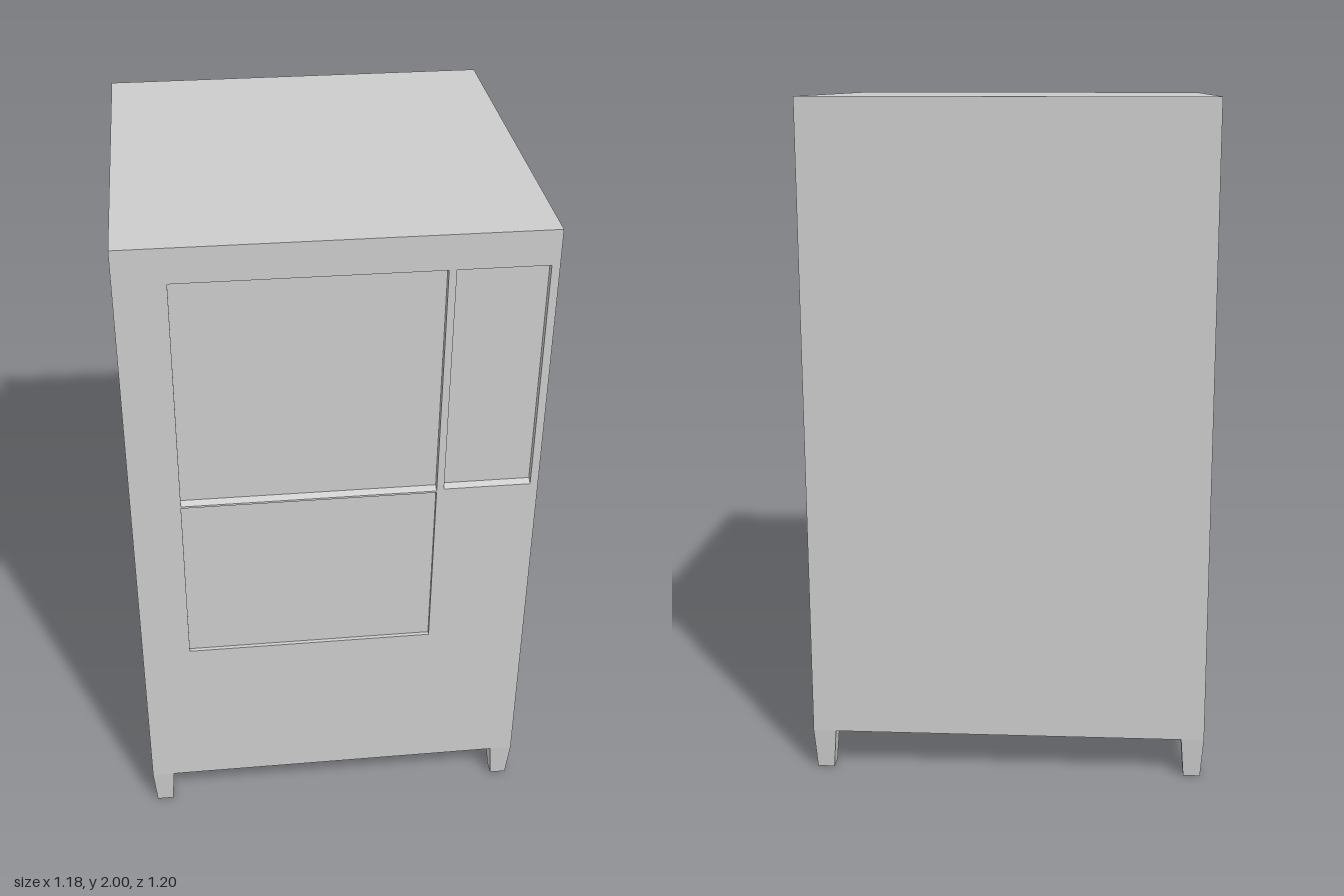
import * as THREE from 'three';

const W = 1.176, D = 1.2, TOP = 2, FOOT = 0.12, RECESS = 0.02;
const FRONT = D / 2, FLOOR = FRONT - RECESS;
const material = new THREE.MeshStandardMaterial({ color: 0xcccccc, flatShading: true });

// Front openings: left, right, bottom, top
const mainOpening = [-0.445, 0.291, 0.64, 1.897];
const sideOpening = [0.312, 0.565, 1.185, 1.897];

export function createModel() {
  const group = new THREE.Group();
  const add = (name, geometry, x = 0, y = 0, z = 0) => {
    const mesh = new THREE.Mesh(geometry, material);
    mesh.name = name;
    mesh.position.set(x, y, z);
    group.add(mesh);
    return mesh;
  };
  const rectangle = (Type, [l, r, b, t]) =>
    new Type([[l, b], [r, b], [r, t], [l, t]].map(p => new THREE.Vector2(...p)));

  // Cabinet body behind the front plate
  add('body', new THREE.BoxGeometry(W, TOP - FOOT, D - RECESS), 0, (TOP + FOOT) / 2, -RECESS / 2);

  // Front plate with the recessed openings
  const plate = rectangle(THREE.Shape, [-W / 2, W / 2, FOOT, TOP]);
  plate.holes.push(rectangle(THREE.Path, mainOpening), rectangle(THREE.Path, sideOpening));
  add('frontPlate', new THREE.ExtrudeGeometry(plate, { depth: RECESS, bevelEnabled: false }), 0, 0, FLOOR);

  // Lower door, set slightly back from the plate
  const [left, right, bottom] = mainOpening;
  const doorTop = 1.18, doorDepth = 0.008;
  add('lowerDoor', new THREE.BoxGeometry(right - left, doorTop - bottom, doorDepth),
    (left + right) / 2, (doorTop + bottom) / 2, FLOOR + doorDepth / 2);

  // Sloping sills under both upper panels
  const addSill = (name, l, r, y) => {
    const section = new THREE.Shape([[0, 0], [-RECESS, 0], [-RECESS, 0.006], [0, 0.014]]
      .map(p => new THREE.Vector2(...p)));
    const sill = add(name, new THREE.ExtrudeGeometry(section, { depth: r - l, bevelEnabled: false }), l, y, FLOOR);
    sill.rotation.y = Math.PI / 2;
  };
  addSill('mainSill', left, right, doorTop);
  addSill('sideSill', sideOpening[0], sideOpening[1], sideOpening[2]);

  // Four tapered square feet
  const foot = new THREE.CylinderGeometry(0.034 * Math.SQRT2, 0.025 * Math.SQRT2, FOOT, 4);
  foot.rotateY(Math.PI / 4);
  for (const sx of [-1, 1]) for (const sz of [-1, 1]) {
    add(`${sz > 0 ? 'front' : 'back'}${sx > 0 ? 'Left' : 'Right'}Foot`, foot,
      sx * (W / 2 - 0.034), FOOT / 2, sz * (D / 2 - 0.034));
  }
  return group;
}
